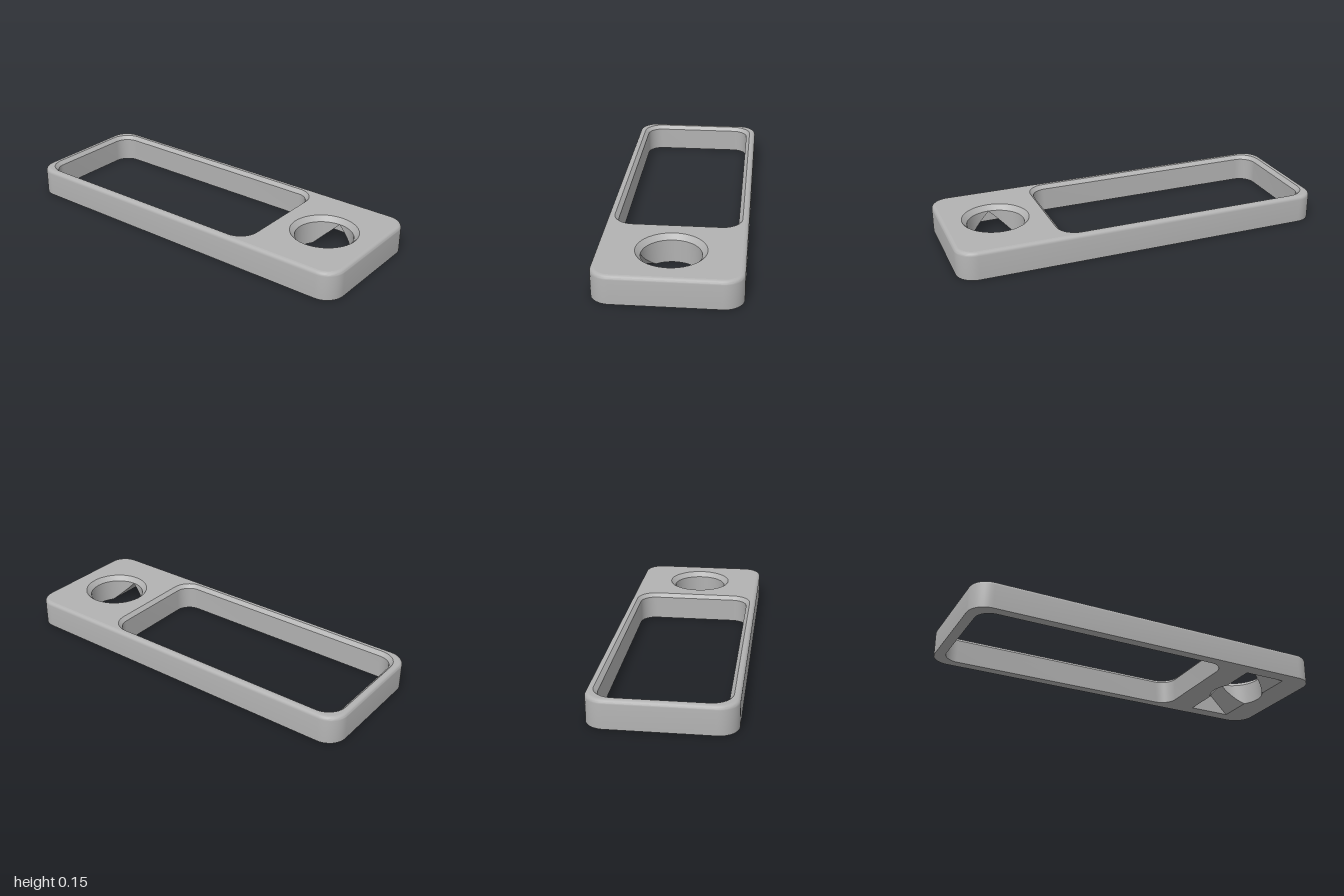
import * as THREE from 'three';
import { toCreasedNormals } from 'three/addons/utils/BufferGeometryUtils.js';

const H = 0.148;                        // plate height
const HOLE_X = 0.72, HOLE_R = 0.15;     // round hole
const NOTCH = 0.12, NOTCH_END = 0.29;   // V groove half-width (and height), reach in z
const T0 = Math.acos(NOTCH / HOLE_R);   // angle where the groove meets the hole

const V = (x, y, z) => new THREE.Vector3(x, y, z);

// Rounded rectangle loop at height y, grown outward by `grow`
function roundedLoop(cx, hw, hd, r, grow, y) {
  const pts = [], n = 10, R = r + grow;
  [[1, 1], [-1, 1], [-1, -1], [1, -1]].forEach(([sx, sz], k) => {
    for (let i = 0; i <= n; i++) {
      const t = (k + i / n) * Math.PI / 2;
      pts.push(V(cx + sx * (hw - r) + R * Math.cos(t), y, sz * (hd - r) + R * Math.sin(t)));
    }
  });
  return pts;
}

// Angles of the hole rim, split where the groove begins and ends
function rimAngles() {
  const out = [], n = 12;
  const stops = [-T0, T0, Math.PI - T0, Math.PI + T0, 2 * Math.PI - T0];
  for (let k = 0; k < 4; k++)
    for (let i = 0; i < n; i++) out.push(stops[k] + (stops[k + 1] - stops[k]) * i / n);
  return out;
}

const grooveHeight = (dx) => Math.max(0, NOTCH - Math.abs(dx));
const rimPoint = (t, r, y) => V(HOLE_X + r * Math.cos(t), y, r * Math.sin(t));
const rimFoot = (t) => rimPoint(t, HOLE_R, grooveHeight(HOLE_R * Math.cos(t)));

// Triangles joining successive rings of points
function loft(rings, closed = true, inward = false) {
  const tris = [];
  for (let k = 0; k + 1 < rings.length; k++) {
    const a = rings[k], b = rings[k + 1], n = a.length;
    for (let i = 0; i < (closed ? n : n - 1); i++) {
      const j = (i + 1) % n;
      const quad = [a[i], b[i], a[j], a[j], b[i], b[j]];
      tris.push(...(inward ? quad.reverse() : quad));
    }
  }
  return tris;
}

function surface(tris) {
  return toCreasedNormals(new THREE.BufferGeometry().setFromPoints(tris), 0.5);
}

// Flat face with holes, facing up or down
function flatFace(outline, holes, y, up) {
  const s = up ? -1 : 1;
  const flat = (pts) => pts.map((p) => new THREE.Vector2(p.x, s * p.z));
  const shape = new THREE.Shape(flat(outline));
  shape.holes = holes.map((h) => new THREE.Path(flat(h)));
  return new THREE.ShapeGeometry(shape).rotateX(s * Math.PI / 2).translate(0, y, 0);
}

export function createModel() {
  const group = new THREE.Group();
  const grey = new THREE.MeshStandardMaterial({ color: 0xb2b2b2 });
  grey.name = 'grey';
  const add = (name, geometry) => {
    const mesh = new THREE.Mesh(geometry, grey);
    mesh.name = name;
    group.add(mesh);
  };

  // Outer wall with a rounded top edge
  const f = 0.02;
  const outer = (grow, y) => roundedLoop(0, 1, 0.363, 0.1, grow, y);
  const outerRings = [outer(0, 0)];
  for (let i = 0; i <= 5; i++) {
    const t = i / 5 * Math.PI / 2;
    outerRings.push(outer(f * (Math.cos(t) - 1), H - f + f * Math.sin(t)));
  }
  add('outerWall', surface(loft(outerRings)));

  // Window wall with a chamfered top edge
  const win = (grow, y) => roundedLoop(-0.2525, 0.6945, 0.31, 0.085, grow, y);
  const winRings = [win(0, 0), win(0, H - 0.02), win(0.02, H)];
  add('windowWall', surface(loft(winRings, true, true)));

  // Round hole: its foot follows the groove, its top is chamfered
  const angles = rimAngles(), c = 0.026;
  const holeTop = angles.map((t) => rimPoint(t, HOLE_R + c, H));
  add('holeWall', surface(loft([
    angles.map(rimFoot),
    angles.map((t) => rimPoint(t, HOLE_R, H - c)),
    holeTop,
  ], true, true)));

  // V groove under the hole, one half on each side
  const groove = [], footprint = [];
  for (const s of [1, -1]) {
    const turn = s > 0 ? 0 : Math.PI;
    const roof = [], side = [];
    for (let i = 0; i <= 12; i++) {
      roof.push(rimFoot(turn + T0 + (Math.PI - 2 * T0) * i / 12));
      side.push(rimPoint(turn - T0 + 2 * T0 * i / 12, HOLE_R, 0));
    }
    const end = roof.map((p) => V(p.x, p.y, s * NOTCH_END));
    groove.push(...loft([roof, end], false));
    const left = V(HOLE_X + s * NOTCH, 0, s * NOTCH_END);
    const right = V(HOLE_X - s * NOTCH, 0, s * NOTCH_END);
    groove.push(left, right, V(HOLE_X, NOTCH, s * NOTCH_END));
    footprint.push(...side, left, right);
  }
  add('groove', surface(groove));

  // Flat top and underside
  add('topFace', flatFace(outerRings.at(-1), [winRings[2], holeTop], H, true));
  add('underside', flatFace(outerRings[0], [winRings[0], footprint], 0, false));

  return group;
}
